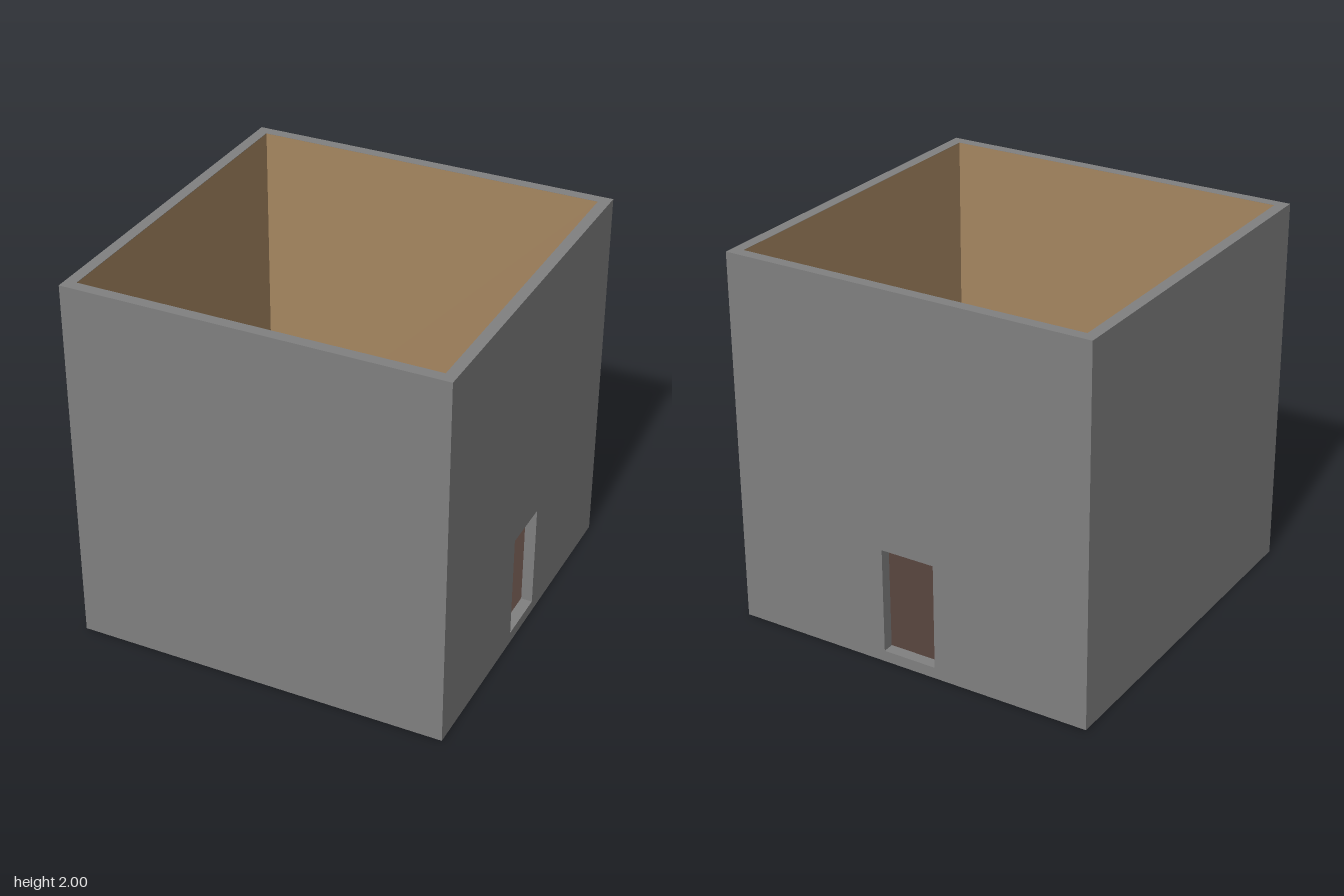
import * as THREE from 'three';

const grey = new THREE.MeshStandardMaterial({ color: 0x808080 });
grey.name = 'wall grey';
const tan = new THREE.MeshStandardMaterial({ color: 0xa58660 });
tan.name = 'inner wall tan';
const brown = new THREE.MeshStandardMaterial({ color: 0x503e38 });
brown.name = 'wood brown';

const T = 0.06; // wall and floor thickness
const DOOR_HALF = 0.148;
const DOOR_TOP = 0.63;

function add(parent, name, geometry, material, x = 0, y = 0, z = 0) {
  const mesh = new THREE.Mesh(geometry, material);
  mesh.name = name;
  mesh.position.set(x, y, z);
  parent.add(mesh);
  return mesh;
}

function box(parent, name, size, pos, material) {
  return add(parent, name, new THREE.BoxGeometry(...size), material, ...pos);
}

function rect(PathType, x0, y0, x1, y1) {
  return new PathType([[x0, y0], [x1, y0], [x1, y1], [x0, y1]].map(p => new THREE.Vector2(...p)));
}

// One wall facing +z, with a tan lining inside and an optional doorway
function makeWall(name, halfWidth, hasDoor) {
  const wall = new THREE.Group();
  wall.name = name;
  const outer = rect(THREE.Shape, -halfWidth, 0, halfWidth, 2);
  if (hasDoor) outer.holes.push(rect(THREE.Path, -DOOR_HALF, T, DOOR_HALF, DOOR_TOP));
  add(wall, 'wallBody', new THREE.ExtrudeGeometry(outer, { depth: T, bevelEnabled: false }), grey, 0, 0, 1 - T);

  const w = 1 - T;
  const points = [[-w, T]];
  if (hasDoor) points.push([-DOOR_HALF, T], [-DOOR_HALF, DOOR_TOP], [DOOR_HALF, DOOR_TOP], [DOOR_HALF, T]);
  points.push([w, T], [w, 2], [-w, 2]);
  const liningShape = new THREE.Shape(points.map(p => new THREE.Vector2(...p)));
  const lining = add(wall, 'wallLining', new THREE.ShapeGeometry(liningShape), tan, 0, 0, 1 - T - 0.002);
  lining.rotation.y = Math.PI;
  return wall;
}

// Oval table on a flared pedestal
function makeTable() {
  const table = new THREE.Group();
  table.name = 'table';
  add(table, 'tableTop', new THREE.CylinderGeometry(0.47, 0.47, 0.02, 16), brown, 0, 0.31, 0);
  add(table, 'tablePedestal', new THREE.CylinderGeometry(0.085, 0.03, 0.285, 16, 1, true), brown, 0, 0.1575, 0);
  add(table, 'tableFoot', new THREE.CylinderGeometry(0.03, 0.13, 0.018, 16), brown, 0, 0.009, 0);
  table.scale.x = 0.295 / 0.47;
  table.position.set(-0.055, T, 0.13);
  return table;
}

// Chair facing +z
function makeChair(x, z, angle) {
  const chair = new THREE.Group();
  chair.name = 'chair';
  box(chair, 'seat', [0.15, 0.02, 0.15], [0, 0.18, 0], brown);
  box(chair, 'backrest', [0.15, 0.2, 0.015], [0, 0.29, -0.0675], brown);
  for (const sx of [-1, 1])
    for (const sz of [-1, 1])
      box(chair, 'chairLeg', [0.018, 0.17, 0.018], [sx * 0.064, 0.085, sz * 0.064], brown);
  chair.position.set(x, T, z);
  chair.rotation.y = angle;
  return chair;
}

// Ribbed radiator against the front wall
function makeRadiator() {
  const radiator = new THREE.Group();
  radiator.name = 'radiator';
  const count = 11, pitch = 0.038;
  for (let i = 0; i < count; i++)
    box(radiator, 'radiatorFin', [0.026, 0.26, 0.125], [(i - (count - 1) / 2) * pitch, 0.17, 0], grey);
  box(radiator, 'radiatorCore', [count * pitch - 0.014, 0.24, 0.105], [0, 0.17, 0], grey);
  radiator.position.set(-0.465, T, 0.865);
  return radiator;
}

export function createModel() {
  const room = new THREE.Group();
  room.name = 'room';

  // Floor
  const inner = 2 - 2 * T;
  box(room, 'floorSlab', [inner, T, inner], [0, T / 2, 0], grey);
  const floor = add(room, 'floorBoards', new THREE.PlaneGeometry(inner, inner), brown, 0, T + 0.002, 0);
  floor.rotation.x = -Math.PI / 2;

  // Walls: doorways in the back and on the +x side
  const walls = [
    ['frontWall', 1, false, 0],
    ['leftWall', 1 - T, true, Math.PI / 2],
    ['backWall', 1, true, Math.PI],
    ['rightWall', 1 - T, false, -Math.PI / 2],
  ];
  for (const [name, halfWidth, hasDoor, angle] of walls) {
    const wall = makeWall(name, halfWidth, hasDoor);
    wall.rotation.y = angle;
    room.add(wall);
  }

  // Furniture
  room.add(makeTable(), makeRadiator());
  room.add(makeChair(0.32, 0.245, -Math.PI / 2));
  room.add(makeChair(-0.213, -0.345, 0.42));
  room.add(makeChair(-0.428, 0.483, 1.93));
  return room;
}
